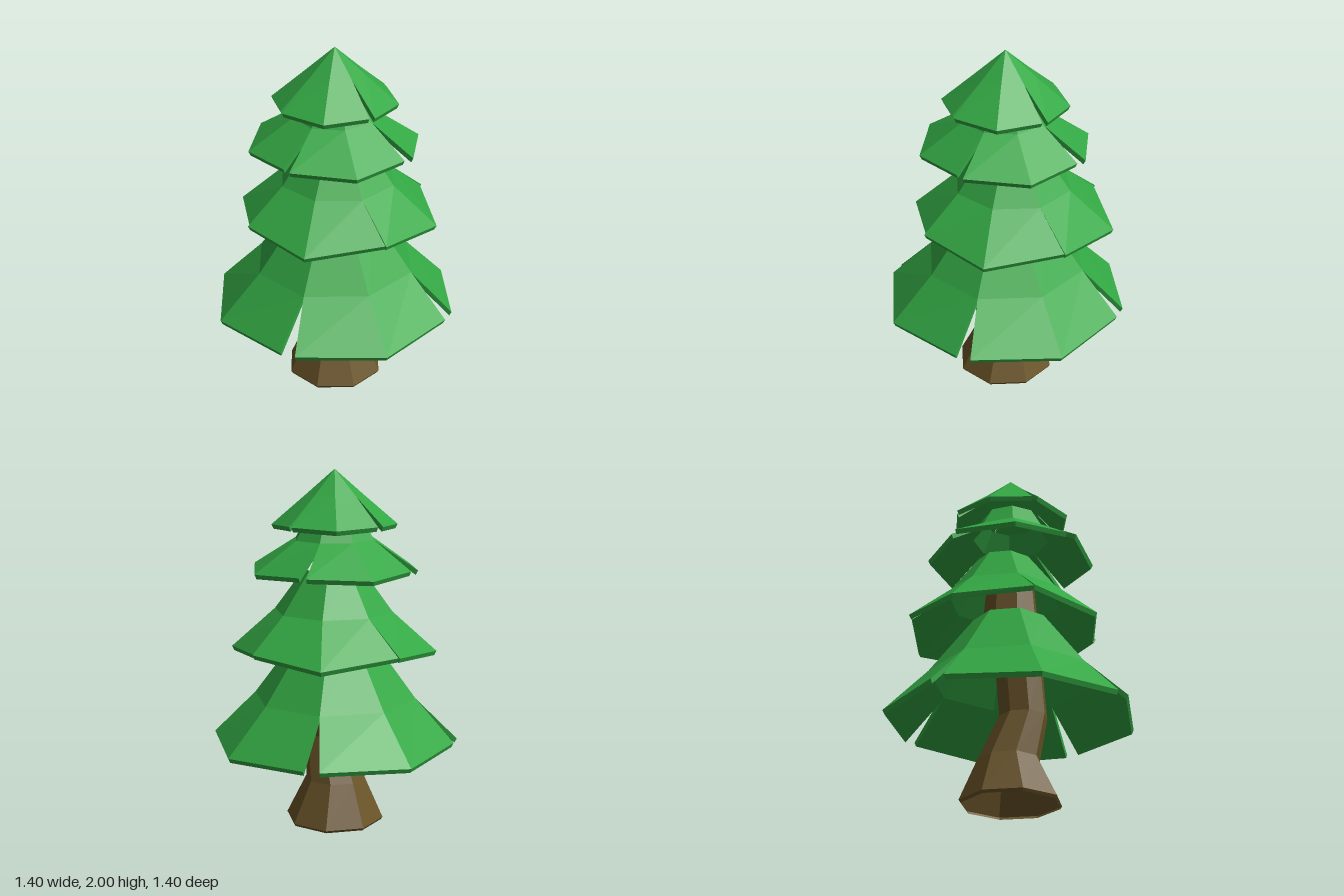
import * as THREE from 'three';

const leafGreen = new THREE.MeshStandardMaterial({ color: 0x33a844 });
const barkBrown = new THREE.MeshStandardMaterial({ color: 0x6a5428, side: THREE.DoubleSide });

// Each tier is four equal bough panels. rim: [start, middle, end] as x, y, z of the lower edge;
// knee and top: [radius, height] of the octagon where the slits end and of the upper opening.
const tiers = [
  { name: 'lowestBoughs', phase: 0, offset: [0, 0], knee: [0.46, 0.73], top: [0.215, 1.06],
    rim: [[-0.45, 0.495, -0.515], [0, 0.48, -0.7], [0.46, 0.495, -0.52]] },
  { name: 'lowerBoughs', phase: 45, offset: [0.03, -0.03], knee: [0.33, 1.23], top: [0.16, 1.46],
    rim: [[-0.04, 1.05, -0.54], [0.38, 1.01, -0.43], [0.55, 1.05, -0.04]] },
  { name: 'upperBoughs', phase: 10, offset: [0, 0], knee: [0.23, 1.62], top: [0.16, 1.74],
    rim: [[-0.23, 1.465, -0.39], [0.08, 1.45, -0.47], [0.38, 1.465, -0.285]] },
  { name: 'crownBoughs', phase: 34, offset: [0, 0], knee: [0.16, 1.86], top: [0, 2],
    rim: [[-0.05, 1.71, -0.33], [0.19, 1.7, -0.29], [0.335, 1.71, -0.08]] },
];

function boughGeometry({ phase, offset, knee, top, rim }) {
  const pos = [];
  const quad = (a, b, c, d) => pos.push(...a, ...b, ...c, ...a, ...c, ...d);
  // three points of an octagon, clockwise seen from above, starting from the back
  const arc = ([r, y]) => [-45, 0, 45].map((d) => {
    const t = THREE.MathUtils.degToRad(phase + d);
    return [r * Math.sin(t), y, -r * Math.cos(t)];
  });
  // underside of the shell: slightly inward and down
  const inset = (row) => row.map(([x, y, z]) => {
    const r = Math.hypot(x, z);
    const k = r > 0.02 ? (r - 0.012) / r : 1;
    return [x * k, y - 0.025, z * k];
  });
  const outer = [rim, arc(knee), arc(top)];
  const inner = outer.map(inset);
  for (let i = 0; i < 2; i++) {
    for (let j = 0; j < 2; j++) {
      quad(outer[j][i + 1], outer[j][i], outer[j + 1][i], outer[j + 1][i + 1]);
      quad(inner[j][i], inner[j][i + 1], inner[j + 1][i + 1], inner[j + 1][i]);
    }
    // lower edge
    quad(inner[0][i + 1], inner[0][i], outer[0][i], outer[0][i + 1]);
  }
  // slit edges
  quad(outer[0][0], inner[0][0], inner[1][0], outer[1][0]);
  quad(inner[0][2], outer[0][2], outer[1][2], inner[1][2]);
  const g = new THREE.BufferGeometry();
  g.setAttribute('position', new THREE.Float32BufferAttribute(pos, 3));
  g.computeVertexNormals();
  return g;
}

// Bent, hollow eight-sided trunk: rows of [height, radius, z shift] from the top down
function trunkGeometry() {
  const rows = [
    [1.28, 0.14, 0], [1.06, 0.16, 0], [0.75, 0.135, 0.05], [0.5, 0.135, 0.07],
    [0.25, 0.17, -0.01], [0.015, 0.28, 0], [0, 0.27, 0],
  ];
  const g = new THREE.CylinderGeometry(1, 1, 1, 8, rows.length - 1, true);
  const p = g.attributes.position;
  for (let i = 0; i < p.count; i++) {
    const [y, r, shift] = rows[Math.floor(i / 9)];
    p.setXYZ(i, p.getX(i) * r, y, p.getZ(i) * r + shift);
  }
  const flat = g.toNonIndexed();
  flat.computeVertexNormals();
  return flat;
}

export function createModel() {
  const tree = new THREE.Group();
  tree.name = 'pineTree';

  const trunk = new THREE.Mesh(trunkGeometry(), barkBrown);
  trunk.name = 'trunk';
  tree.add(trunk);

  for (const tier of tiers) {
    const group = new THREE.Group();
    group.name = tier.name;
    group.position.set(tier.offset[0], 0, tier.offset[1]);
    const geometry = boughGeometry(tier);
    for (let i = 0; i < 4; i++) {
      const bough = new THREE.Mesh(geometry, leafGreen);
      bough.name = 'bough';
      bough.rotation.y = -i * Math.PI / 2;
      group.add(bough);
    }
    tree.add(group);
  }
  return tree;
}
